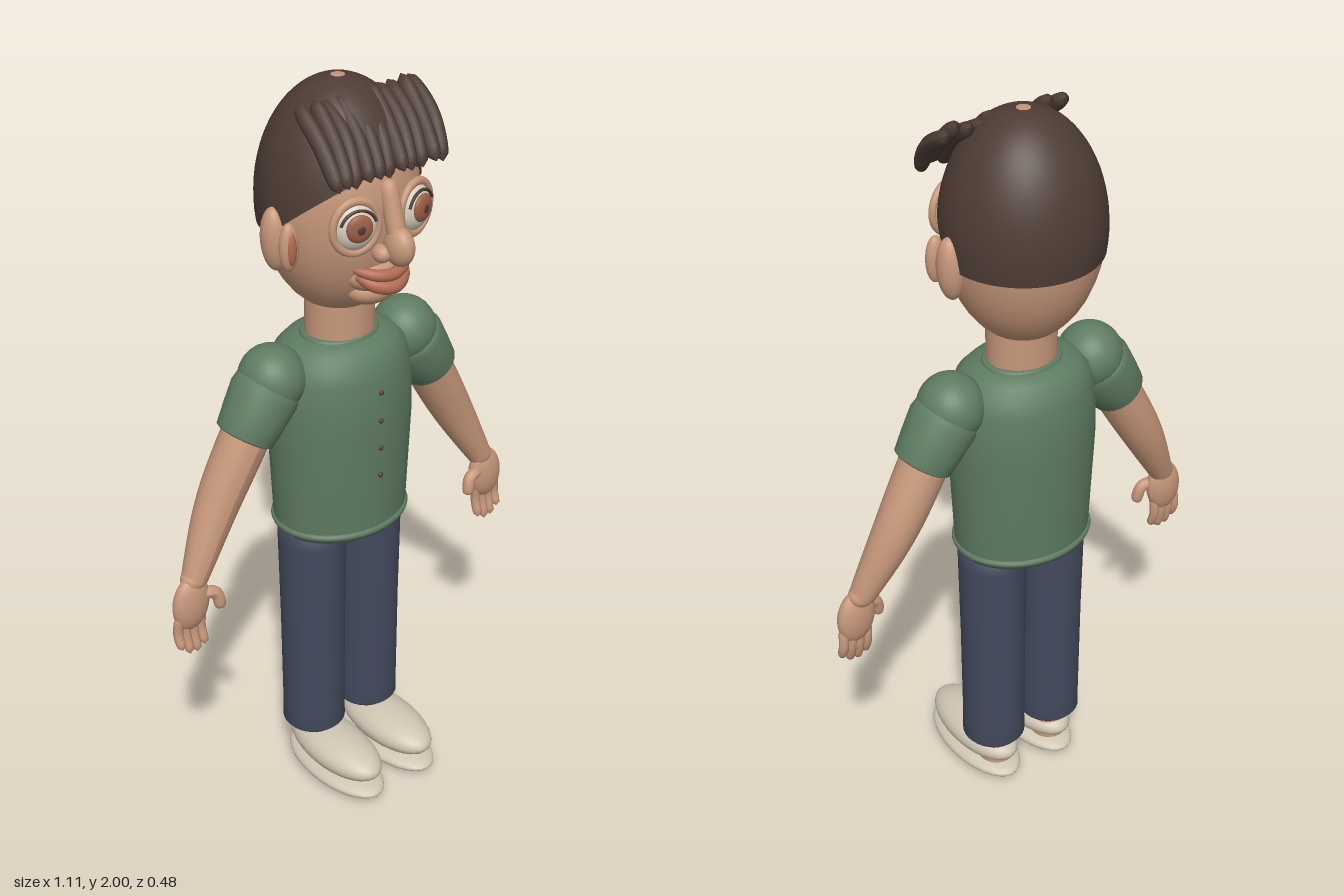
import * as THREE from 'three';

const mat = (name, color) => {
  const m = new THREE.MeshStandardMaterial({ color });
  m.name = name;
  return m;
};

export function createModel() {
  const skin = mat('skin', 0xc6977a), hair = mat('hair', 0x4e3c35), shirt = mat('shirt green', 0x5f7c62),
    denim = mat('trouser blue', 0x434a5e), shoe = mat('shoe cream', 0xcfc5b2), white = mat('eye white', 0xd8d0c0),
    iris = mat('iris brown', 0x9a5f47), lip = mat('lip red', 0xb06a52), button = mat('button', 0x5a3a35);
  hair.side = THREE.DoubleSide;
  const root = new THREE.Group();
  const V = (x, y, z) => new THREE.Vector3(x, y, z);

  const add = (name, geo, material, parent = root) => {
    const m = new THREE.Mesh(geo, material);
    m.name = name;
    parent.add(m);
    return m;
  };
  const ball = (name, material, p, r, parent = root) => {
    const m = add(name, new THREE.SphereGeometry(1, 32, 20), material, parent);
    m.position.set(...p);
    m.scale.set(...r);
    return m;
  };
  // Tube whose radius follows rule(t) along a smooth path
  const limb = (name, material, pts, rule, parent = root, n = 20, sides = 16) => {
    const path = new THREE.CatmullRomCurve3(pts.map(p => V(...p)));
    const geo = new THREE.TubeGeometry(path, n, 1, sides);
    const pos = geo.attributes.position, v = V(0, 0, 0);
    for (let i = 0; i <= n; i++) {
      const c = path.getPointAt(i / n), r = rule(i / n);
      for (let j = 0; j <= sides; j++) {
        const k = i * (sides + 1) + j;
        v.fromBufferAttribute(pos, k).sub(c).multiplyScalar(r).add(c);
        pos.setXYZ(k, v.x, v.y, v.z);
      }
    }
    geo.computeVertexNormals();
    return add(name, geo, material, parent);
  };
  const rounded = (r, p = 6) => t => r * Math.sqrt(Math.max(0, 1 - Math.pow(Math.abs(2 * t - 1), p))) + 0.0005;
  const lathe = (pts, sides = 48) => new THREE.LatheGeometry(pts.map(p => new THREE.Vector2(...p)), sides);

  // Head and neck
  const head = new THREE.Group();
  head.name = 'head';
  root.add(head);
  ball('skull', skin, [0, 1.7, -0.04], [0.199, 0.299, 0.199], head);
  const neck = add('neck', new THREE.CylinderGeometry(0.092, 0.092, 0.15, 32), skin);
  neck.position.set(0, 1.385, -0.035);
  neck.scale.z = 0.9;

  // Hair cap, with a hairline that rises towards the front and a small crown opening
  const nu = 64, nv = 20, capPos = [], capIdx = [];
  for (let i = 0; i <= nv; i++) {
    for (let j = 0; j <= nu; j++) {
      const a = j / nu * Math.PI * 2, c = Math.cos(a);
      const low = 1.64 + Math.max(0, 0.17 * c + 0.01);
      const phi0 = Math.asin((low - 1.7) / 0.3);
      const phi = phi0 + (Math.PI / 2 - 0.085 - phi0) * i / nv;
      const r = 0.204 * Math.cos(phi);
      capPos.push(r * Math.sin(a), 1.7 + 0.3 * Math.sin(phi), -0.04 + r * c);
      if (i < nv && j < nu) {
        const k = i * (nu + 1) + j;
        capIdx.push(k, k + 1, k + nu + 2, k, k + nu + 2, k + nu + 1);
      }
    }
  }
  const cap = new THREE.BufferGeometry();
  cap.setAttribute('position', new THREE.Float32BufferAttribute(capPos, 3));
  cap.setIndex(capIdx);
  cap.computeVertexNormals();
  add('hairCap', cap, hair, head);

  // Fringe of overlapping strands
  for (let i = 0; i < 11; i++) {
    const x = -0.155 + i * 0.0325, d = 0.007 * Math.sin(i * 2.3), s = i === 0 ? 0.004 : 0.014;
    limb('fringeStrand', hair, [
      [x + s, 1.972 + d, 0.0 + d], [x + s * 0.5, 1.9, 0.09], [x - s, 1.812 + d, 0.168 + d]
    ], rounded(0.02), head, 16, 10);
  }

  // Face
  for (const s of [-1, 1]) {
    const eye = new THREE.Group();
    eye.name = s > 0 ? 'leftEye' : 'rightEye';
    eye.position.set(s * 0.088, 1.7, 0.13);
    eye.rotation.y = s * 0.25;
    head.add(eye);
    ball('eyeball', white, [0, 0, 0], [0.056, 0.062, 0.038], eye);
    ball('iris', iris, [0, 0.004, 0.032], [0.034, 0.035, 0.012], eye);
    ball('pupil', button, [0, 0.004, 0.042], [0.011, 0.012, 0.004], eye);
    const lid = add('eyelid', new THREE.TorusGeometry(0.059, 0.01, 10, 40), skin, eye);
    lid.scale.y = 1.1;
    lid.position.z = 0.01;
    const lash = add('upperLash', new THREE.TorusGeometry(0.047, 0.004, 8, 24, Math.PI * 0.8), hair, eye);
    lash.rotation.z = Math.PI * 0.1;
    lash.position.z = 0.027;

    const ear = ball('ear', skin, [s * 0.2, 1.64, -0.03], [0.034, 0.083, 0.036], head);
    ear.rotation.z = -s * 0.06;
    ball('earRim', skin, [s * 0.203, 1.64, 0.03], [0.026, 0.062, 0.02], head);
    ball('innerEar', lip, [s * 0.205, 1.64, 0.041], [0.014, 0.044, 0.013], head);
    ball('nostril', skin, [s * 0.033, 1.625, 0.165], [0.022, 0.022, 0.026], head);
  }
  limb('noseBridge', skin, [[0, 1.8, 0.14], [0, 1.72, 0.165], [0, 1.64, 0.19]], rounded(0.023), head);
  ball('noseTip', skin, [0, 1.642, 0.19], [0.032, 0.05, 0.045], head);
  limb('upperLip', lip, [[-0.083, 1.578, 0.115], [-0.04, 1.565, 0.155], [0, 1.56, 0.165], [0.04, 1.565, 0.155], [0.083, 1.578, 0.115]], rounded(0.015, 3), head);
  limb('lowerLip', lip, [[-0.075, 1.562, 0.115], [-0.04, 1.538, 0.155], [0, 1.53, 0.17], [0.04, 1.538, 0.155], [0.075, 1.562, 0.115]], rounded(0.018, 3), head);
  ball('muzzle', skin, [0, 1.55, 0.1], [0.085, 0.05, 0.055], head);
  ball('chin', skin, [0, 1.5, 0.085], [0.07, 0.042, 0.055], head);

  // Shirt body, hem, collar and buttons
  const body = add('shirtBody', lathe([[0, 0.79], [0.182, 0.79], [0.186, 0.82], [0.192, 0.95], [0.199, 1.1], [0.198, 1.18],
    [0.19, 1.25], [0.176, 1.295], [0.15, 1.32], [0.115, 1.333], [0.09, 1.337], [0, 1.337]]), shirt);
  body.scale.z = 0.83;
  body.position.z = -0.037;
  const ring = (name, r, tube, y) => {
    const m = add(name, new THREE.TorusGeometry(r, tube, 10, 48), shirt);
    m.rotation.x = Math.PI / 2;
    m.scale.y = 0.84;
    m.position.set(0, y, -0.037);
  };
  ring('shirtHem', 0.182, 0.01, 0.808);
  ring('collar', 0.097, 0.01, 1.333);
  for (let i = 0; i < 4; i++) ball('button', button, [0, 1.22 - i * 0.08, 0.131], [0.007, 0.007, 0.005]);

  // Limbs, mirrored
  const lerp = THREE.MathUtils.lerp;
  for (const s of [-1, 1]) {
    const side = new THREE.Group();
    side.name = s > 0 ? 'leftLimbs' : 'rightLimbs';
    root.add(side);

    // Sleeve and arm
    ball('shoulder', shirt, [s * 0.212, 1.265, -0.037], [0.086, 0.088, 0.088], side);
    const a = V(s * 0.215, 1.262, -0.037), b = V(s * 0.303, 1.128, -0.037);
    const sleeve = add('sleeve', lathe([[0.06, 0], [0.083, 0.01], [0.089, 0.04], [0.083, 0.1], [0.076, 0.155], [0.068, 0.16], [0, 0.158]], 32), shirt, side);
    sleeve.position.copy(a);
    sleeve.quaternion.setFromUnitVectors(V(0, 1, 0), b.clone().sub(a).normalize());
    sleeve.material = shirtSided(shirt);
    limb('arm', skin, [[s * 0.28, 1.16, -0.038], [s * 0.39, 0.96, -0.04], [s * 0.482, 0.785, -0.02]],
      t => lerp(0.064, 0.034, t) + 0.008 * Math.sin(Math.PI * t), side);
    ball('wrist', skin, [s * 0.482, 0.788, -0.02], [0.036, 0.03, 0.032], side);

    // Hand
    const palm = ball('palm', skin, [s * 0.498, 0.725, -0.014], [0.053, 0.078, 0.03], side);
    palm.rotation.z = s * 0.12;
    for (let i = 0; i < 4; i++) {
      const x = 0.467 + i * 0.023, tip = [0.59, 0.577, 0.58, 0.6][i];
      limb('finger', skin, [[s * x, 0.7, -0.012], [s * (x + 0.004), 0.64, -0.016], [s * (x + 0.003), tip, 0.0]],
        rounded(0.0125), side, 12, 10);
    }
    limb('thumb', skin, [[s * 0.47, 0.745, -0.005], [s * 0.433, 0.735, 0.0], [s * 0.42, 0.685, 0.006]], rounded(0.016), side, 14, 12);

    // Trouser leg and ankle
    const leg = add('trouserLeg', lathe([[0, 0.14], [0.078, 0.14], [0.086, 0.15], [0.085, 0.2], [0.087, 0.5], [0.091, 0.75], [0.091, 0.83], [0, 0.83]], 32), denim, side);
    leg.position.set(s * 0.093, 0, -0.037);
    const ankle = add('ankle', new THREE.CylinderGeometry(0.05, 0.05, 0.12, 24), skin, side);
    ankle.position.set(s * 0.09, 0.12, -0.045);

    // Shoe
    ball('shoeUpper', shoe, [s * 0.09, 0.093, 0.058], [0.082, 0.053, 0.173], side);
    ball('shoeSole', shoe, [s * 0.09, 0.031, 0.058], [0.086, 0.031, 0.182], side);
  }
  return root;

  // Lathe parts built along an open path show both faces
  function shirtSided(m) {
    m.side = THREE.DoubleSide;
    return m;
  }
}
